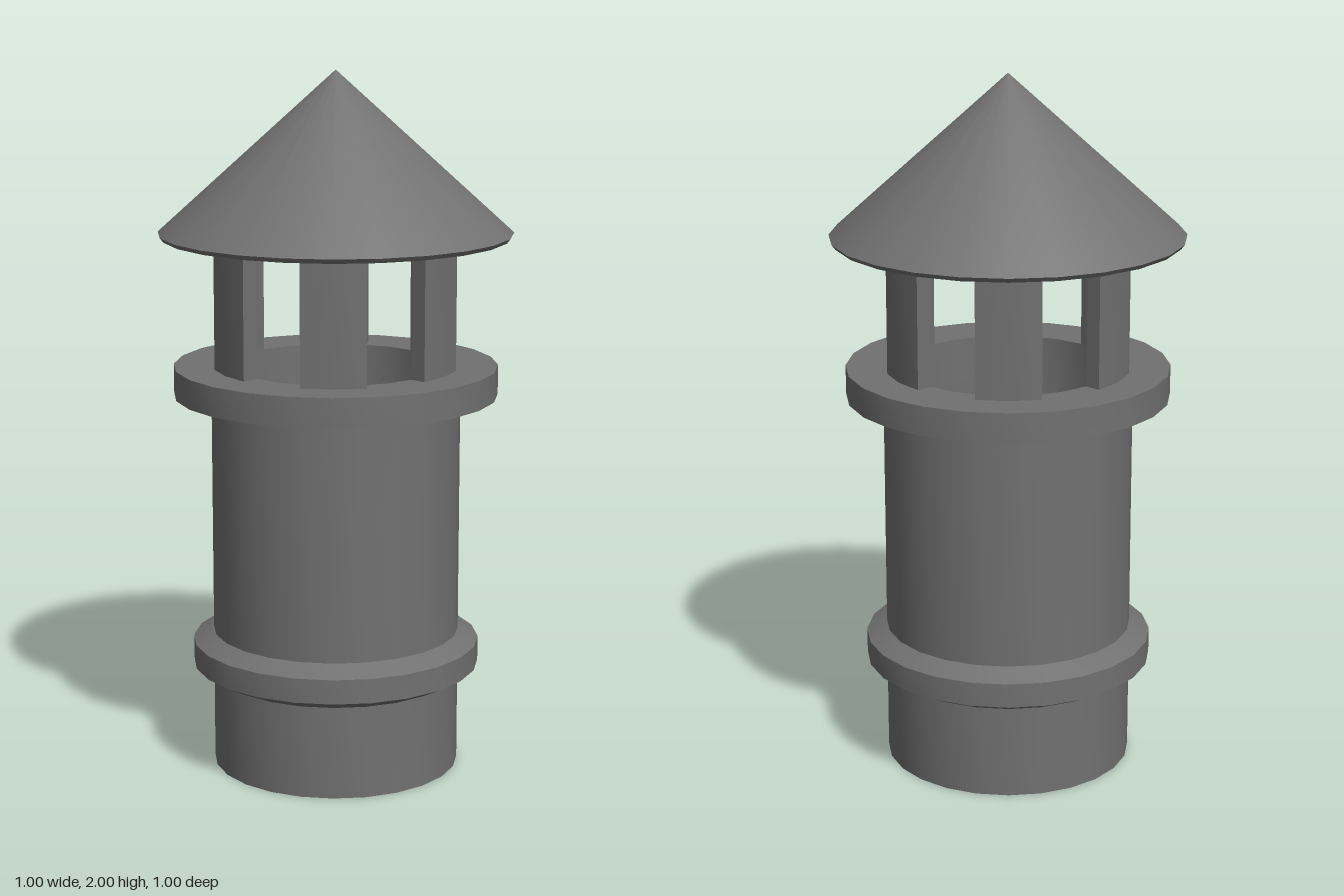
import * as THREE from 'three';
import { toCreasedNormals } from 'three/addons/utils/BufferGeometryUtils.js';

const SIDES = 24;
const CREASE = 0.9;
const material = new THREE.MeshStandardMaterial({ color: 0x717171 });

// Solid of revolution, profile given as [radius, y] from the bottom up
function turned(name, profile) {
  const points = profile.map(([r, y]) => new THREE.Vector2(r, y));
  const geometry = toCreasedNormals(new THREE.LatheGeometry(points, SIDES), CREASE);
  const mesh = new THREE.Mesh(geometry, material);
  mesh.name = name;
  return mesh;
}

// Curved upright: a 30 degree sector of a ring, extruded upwards
function slatGeometry(inner, outer, bottom, top) {
  const step = (Math.PI * 2) / SIDES;
  const at = (r, k) => new THREE.Vector2(r * Math.sin(k * step), -r * Math.cos(k * step));
  const shape = new THREE.Shape([
    ...[-1, 0, 1].map((k) => at(outer, k)),
    ...[1, 0, -1].map((k) => at(inner, k)),
  ]);
  const geometry = new THREE.ExtrudeGeometry(shape, { depth: top - bottom, bevelEnabled: false });
  geometry.rotateX(-Math.PI / 2).translate(0, bottom, 0);
  return toCreasedNormals(geometry, CREASE);
}

export function createModel() {
  const model = new THREE.Group();
  model.name = 'chimneyVent';

  // Pipe with bevelled collar, top flange and recessed opening
  model.add(turned('pipe', [
    [0, 0], [0.354, 0],
    [0.354, 0.267], [0.412, 0.297], [0.412, 0.367], [0.354, 0.396],
    [0.354, 1.086], [0.46, 1.086], [0.46, 1.17], [0.302, 1.17],
    [0.302, 0.94], [0, 0.94],
  ]));

  // Six uprights around the opening, reaching up inside the cap
  const slats = new THREE.Group();
  slats.name = 'slats';
  const geometry = slatGeometry(0.302, 0.35, 1.17, 1.58);
  for (let i = 0; i < 6; i++) {
    const slat = new THREE.Mesh(geometry, material);
    slat.name = `slat${i + 1}`;
    slat.rotation.y = (i * Math.PI) / 3;
    slats.add(slat);
  }
  model.add(slats);

  // Hollow conical rain cap: inner cone, thin rim, outer cone
  model.add(turned('rainCap', [[0, 1.977], [0.49, 1.535], [0.5, 1.548], [0, 2]]));

  return model;
}
